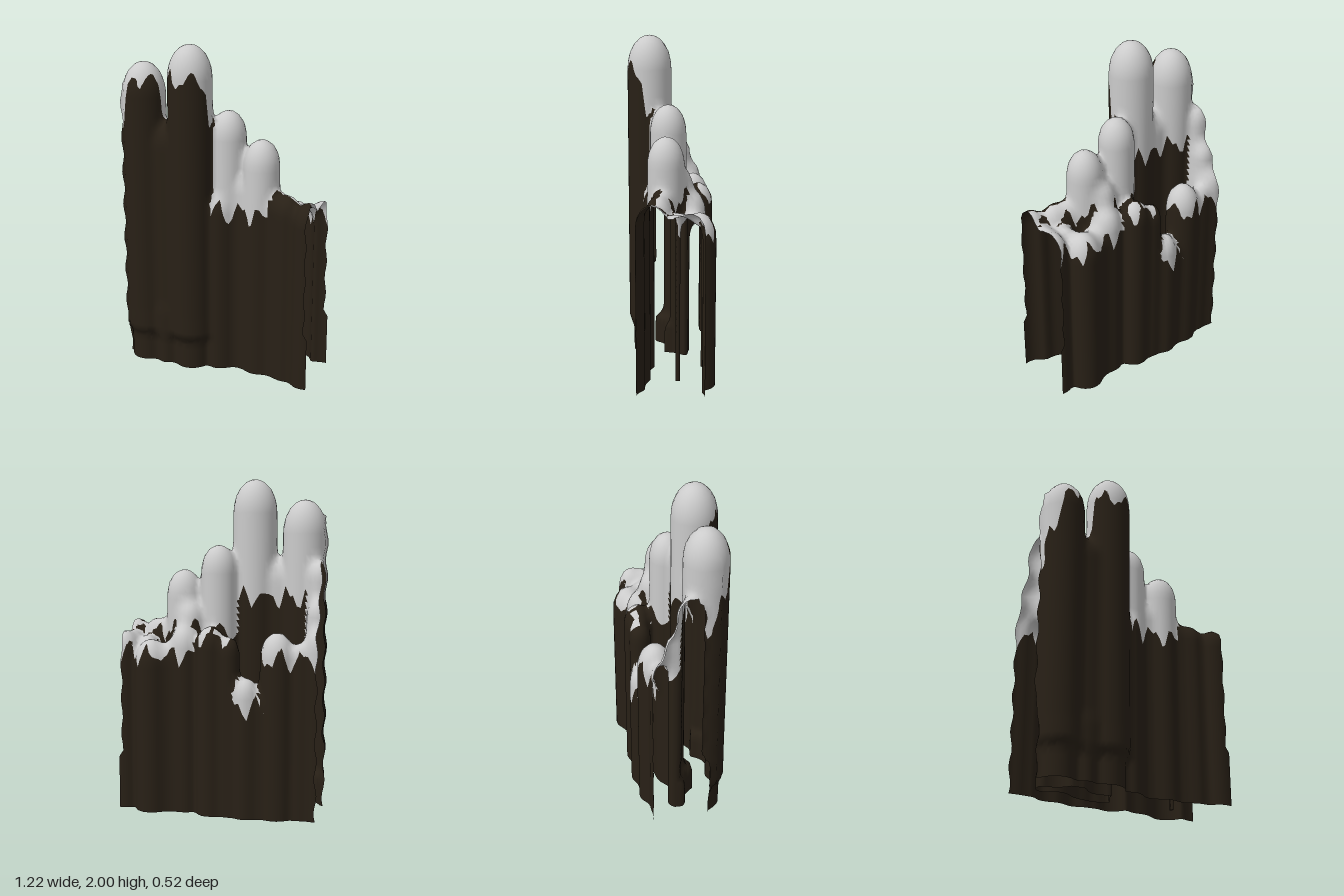
import * as THREE from 'three';

const WOOD = 0x282016, SNOW = 0xcccccc, BURIED = -1;
const POSTS = [];

// A row shares its foot height and the snow lines on its front and back
function addRow(foot, front, back, posts) {
  for (const [name, x, z, r, top] of posts) POSTS.push({ name, x, z, r, top, foot, front, back });
}

// Each post: name, x, z, radius, top
addRow(0.16, 1.8, 1.3, [
  ['tallOuterPost', -0.475, 0.118, 0.13, 1.88],
  ['tallestPost', -0.17, 0.127, 0.133, 2],
  ['tallPostsWeb', -0.32, 0.128, 0.09, 1.52],
]);
addRow(BURIED, 1.02, 1.1, [
  ['middlePost', 0.03, 0.02, 0.108, 1.61],
  ['middleFrontPost', 0, 0.1, 0.065, 1.1],
  ['steppedPost', 0.25, 0.04, 0.108, 1.46],
  ['steppedWeb', 0.14, 0.03, 0.07, 1.23],
  ['steppedBackWeb', 0.19, -0.04, 0.08, 1.27],
]);
addRow(BURIED, 1.3, 1.08, [
  ['lowFrontPost', 0.44, 0.09, 0.08, 1.15],
  ['lowFrontWeb', 0.365, 0.065, 0.068, 1.15],
  ['lowEndPost', 0.58, 0.13, 0.092, 1.14],
  ['backMiddlePost', 0.04, -0.16, 0.085, 1.14],
  ['backNarrowPost', -0.075, -0.172, 0.064, 1.08],
]);
addRow(BURIED, 0.93, 0.96, [
  ['lowEndWeb', 0.57, 0, 0.07, 1.08],
  ['lowInnerWeb', 0.46, -0.04, 0.065, 1.06],
  ['lowEndBackPost', 0.59, -0.09, 0.085, 1.09],
  ['backLeftPost', 0.41, -0.145, 0.1, 1.05],
  ['backLeftWeb', 0.305, -0.12, 0.072, 1.02],
  ['backSteppedPost', 0.21, -0.11, 0.085, 1.13],
  ['backRightPost', -0.36, -0.145, 0.102, 1.11],
  ['backOuterPost', -0.5, -0.145, 0.06, 1.05],
  ['backEndPost', -0.6, -0.13, 0.08, 1.14],
  ['endLowWeb', -0.59, -0.07, 0.07, 1.3],
  ['endHighWeb', -0.59, 0, 0.07, 1.52],
]);
addRow(BURIED, 0.66, 0.67, [
  ['backShortPost', -0.18, -0.185, 0.075, 0.84],
  ['backWeb', -0.26, -0.165, 0.06, 0.75],
]);

// The tall posts overhang slimmer bases joined by a thin front web
addRow(BURIED, 1, 1, [
  ...POSTS.slice(0, 2).map(p => [p.name + 'Base', p.x, p.z, 0.105, 0.4]),
  ['baseWeb', -0.325, 0.155, 0.062, 0.4],
  ['baseEndWeb', -0.6, 0.06, 0.06, 0.4],
]);

// Distance to one upright post with a long rounded tip
function postDistance(p, { x, y, z }) {
  const stretch = 1.5, shoulder = p.top - stretch * p.r, heel = p.foot + 0.5 * p.r;
  const dy = y > shoulder ? (y - shoulder) / stretch : y < heel ? (heel - y) * 2 : 0;
  return Math.hypot(x - p.x, z - p.z, dy) - p.r;
}

// All posts melted softly into one wall
function wallDistance(x, y, z) {
  const k = 0.045, v = { x, y, z };
  return POSTS.reduce((d, p) => {
    const e = postDistance(p, v), h = Math.max(k - Math.abs(d - e), 0) / k;
    return Math.min(d, e) - h * h * k * 0.25;
  }, 1);
}

function wallNormal({ x, y, z }) {
  const e = 0.004;
  return new THREE.Vector3(
    wallDistance(x + e, y, z) - wallDistance(x - e, y, z),
    wallDistance(x, y + e, z) - wallDistance(x, y - e, z),
    wallDistance(x, y, z + e) - wallDistance(x, y, z - e)).normalize();
}

const nearestPost = v => POSTS.reduce((a, b) => (postDistance(b, v) < postDistance(a, v) ? b : a));

// Height above the dripping snow line, which hangs lowest on the outer end
function snowDepth(post, { v, n }) {
  const front = post.front - 0.25 * THREE.MathUtils.smoothstep(-v.x, 0.5, 0.56);
  const line = THREE.MathUtils.lerp(post.back, front, THREE.MathUtils.smoothstep(n.z, -0.1, 0.45));
  return v.y - line - 0.05 * Math.sin(v.x * 47 + 1) - 0.03 * Math.sin(v.x * 83 + v.z * 40);
}

// The part of a triangle where depth times sign is positive, as a fan of corners
function clipTriangle(corners, depth, sign) {
  const poly = [];
  corners.forEach((p, m) => {
    const q = corners[(m + 1) % 3], a = depth[m] * sign, b = depth[(m + 1) % 3] * sign;
    if (a >= 0) poly.push(p);
    if (a >= 0 === b >= 0) return;
    const t = a / (a - b);
    poly.push({ v: p.v.clone().lerp(q.v, t), n: p.n.clone().lerp(q.n, t).normalize() });
  });
  return poly.slice(2).flatMap((p, m) => [poly[0], poly[m + 1], p]);
}

// Skin of the wall as a net of quads; the two ends and the bottom stay open
function buildTriangles(emit) {
  const N = [50, 53, 26], step = [0.025, 0.04, 0.025], start = [-0.6125, -0.02, -0.3125];
  const at = (i, j, k) => (i * N[1] + j) * N[2] + k;
  const pos = (s, a) => start[a] + s * step[a];
  const each = (less, visit) => {
    for (let i = 0; i < N[0] - less; i++)
      for (let j = 0; j < N[1] - less; j++)
        for (let k = 0; k < N[2] - less; k++) visit(i, j, k);
  };
  const field = new Float32Array(N[0] * N[1] * N[2]);
  each(0, (...c) => { field[at(...c)] = wallDistance(...c.map(pos)); });

  // One point per crossed cell: the mean of its edge crossings
  const points = new Map();
  each(1, (i, j, k) => {
    const v = new THREE.Vector3();
    let count = 0;
    for (let c = 0; c < 8; c++)
      for (const bit of [1, 2, 4]) {
        if (c & bit) continue;
        const corner = b => [i + (b & 1), j + ((b >> 1) & 1), k + (b >> 2)];
        const p = corner(c), q = corner(c | bit);
        const a = field[at(...p)], b = field[at(...q)];
        if (a < 0 === b < 0) continue;
        v.add(new THREE.Vector3(...p.map((s, m) => pos(s + (q[m] - s) * a / (a - b), m))));
        count++;
      }
    if (!count) return;
    v.divideScalar(count);
    // Ragged ends and a flat bottom
    if (i === 0) v.x = -0.602 + 0.008 * Math.sin(v.y * 30);
    if (i === N[0] - 2) v.x = v.y < 0.34 ? 0.612 : 0.592 + 0.006 * Math.sin(v.y * 30);
    if (j === 0) v.y = 0;
    points.set(at(i, j, k), { v, n: wallNormal(v) });
  });

  // Join the four cells around every crossed grid edge
  const unit = a => [0, 1, 2].map(m => (m === a % 3 ? 1 : 0));
  each(1, (i, j, k) => {
    for (let axis = 0; axis < 3; axis++) {
      const g = unit(axis), u = unit(axis + 1), w = unit(axis + 2);
      if (field[at(i, j, k)] < 0 === field[at(i + g[0], j + g[1], k + g[2])] < 0) continue;
      const cell = (a, b) => {
        const c = [i, j, k].map((s, m) => s - a * u[m] - b * w[m]);
        return Math.min(...c) < 0 ? undefined : points.get(at(...c));
      };
      const quad = [cell(0, 0), cell(1, 0), cell(1, 1), cell(0, 1)];
      if (quad.some(p => !p)) continue;
      emit(quad[0], quad[1], quad[2]);
      emit(quad[0], quad[2], quad[3]);
    }
  });
}

export function createModel() {
  const material = color => new THREE.MeshStandardMaterial({ color, side: THREE.DoubleSide });
  const materials = { Wood: material(WOOD), Snow: material(SNOW) };
  const parts = new Map(POSTS.map(p => [p, { Wood: [], Snow: [] }]));
  const face = new THREE.Vector3(), edge = new THREE.Vector3();

  // Hand every triangle to the post it lies on, cut along the snow line
  buildTriangles((a, b, c) => {
    face.subVectors(b.v, a.v).cross(edge.subVectors(c.v, a.v));
    const outward = face.dot(a.n) + face.dot(b.n) + face.dot(c.n) > 0;
    const corners = outward ? [a, b, c] : [a, c, b];
    const post = nearestPost(a.v.clone().add(b.v).add(c.v).divideScalar(3));
    const depth = corners.map(p => snowDepth(post, p));
    parts.get(post).Snow.push(...clipTriangle(corners, depth, 1));
    parts.get(post).Wood.push(...clipTriangle(corners, depth, -1));
  });

  const model = new THREE.Group();
  model.name = 'snowyPostWall';
  for (const [post, layers] of parts) {
    const group = new THREE.Group();
    group.name = post.name;
    for (const [layer, list] of Object.entries(layers)) {
      if (!list.length) continue;
      const geometry = new THREE.BufferGeometry();
      const attribute = key => new THREE.Float32BufferAttribute(list.flatMap(p => p[key].toArray()), 3);
      geometry.setAttribute('position', attribute('v'));
      geometry.setAttribute('normal', attribute('n'));
      const mesh = new THREE.Mesh(geometry, materials[layer]);
      mesh.name = post.name + layer;
      group.add(mesh);
    }
    model.add(group);
  }
  return model;
}
